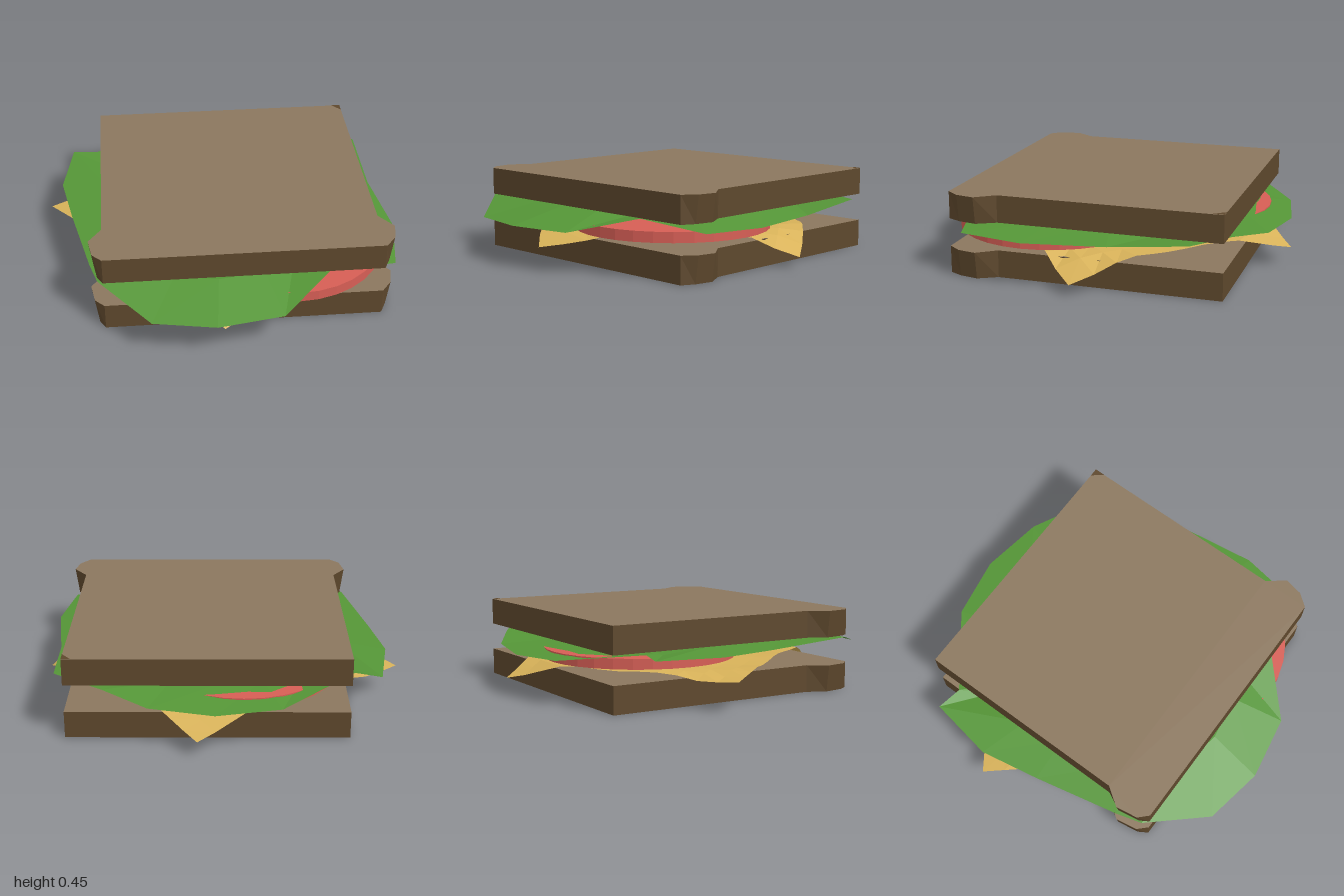
import * as THREE from 'three';

const mat = (name, color, extra = {}) => {
  const m = new THREE.MeshStandardMaterial({ color, flatShading: true, ...extra });
  m.name = name;
  return m;
};

// open sheet from points and triangle indices
function sheet(name, points, index, material) {
  const g = new THREE.BufferGeometry();
  g.setAttribute('position', new THREE.Float32BufferAttribute(points.flat(), 3));
  g.setIndex(index);
  g.computeVertexNormals();
  const m = new THREE.Mesh(g, material);
  m.name = name;
  return m;
}

export function createModel() {
  const group = new THREE.Group();
  group.name = 'sandwich';
  const crumb = mat('bread crumb', 0x8b775e);
  const crust = mat('bread crust', 0x5e482d);
  const green = mat('lettuce green', 0x559637, { side: THREE.DoubleSide });
  const red = mat('tomato red', 0xd65e55);
  const yellow = mat('cheese yellow', 0xd8b259, { side: THREE.DoubleSide });

  // bread slices: square with two lobed front corners
  const outline = [[-0.67, -0.78], [0.81, -0.78], [0.81, 0.42], [0.885, 0.52], [0.865, 0.62],
    [0.81, 0.69], [-0.67, 0.69], [-0.72, 0.64], [-0.74, 0.52], [-0.67, 0.42]];
  const shape = new THREE.Shape(outline.map(([x, z]) => new THREE.Vector2(x, -z)));
  function slice(name, y) {
    const g = new THREE.ExtrudeGeometry(shape, { depth: 0.147, bevelEnabled: false });
    g.rotateX(-Math.PI / 2);
    const p = g.attributes.position;
    // lobes taper inwards towards the bottom
    for (let i = 0; i < p.count; i++) {
      const x = p.getX(i);
      if (p.getY(i) < 0.01 && (x > 0.82 || x < -0.68)) p.setX(i, x - Math.sign(x) * 0.02);
    }
    g.computeVertexNormals();
    const m = new THREE.Mesh(g, [crumb, crust]);
    m.name = name;
    m.position.y = y;
    group.add(m);
  }
  slice('bottomBread', 0);
  slice('topBread', 0.298);

  // small patch of crust on the back corner of the top slice
  group.add(sheet('crustPatch', [[0.81, 0.447, -0.78], [0.76, 0.447, -0.78], [0.81, 0.447, -0.72]],
    [0, 1, 2], crust));

  // two overlapping tomato slices
  [[0.345, 0.217, 0.27], [-0.115, 0.223, -0.31]].forEach(([x, y, z], i) => {
    const m = new THREE.Mesh(new THREE.CylinderGeometry(0.523, 0.523, 0.056, 32), red);
    m.position.set(x, y, z);
    m.name = 'tomatoSlice' + (i + 1);
    group.add(m);
  });

  // lettuce leaf: outer rim [x, y, z], raised inner ring and centre
  const rim = [[-0.1, 0.22, 1], [0.25, 0.22, 0.94], [0.52, 0.293, 0.68], [0.89, 0.25, 0.59],
    [0.95, 0.246, 0.24], [0.89, 0.25, -0.2], [0.875, 0.29, -0.62], [0.61, 0.275, -0.78],
    [0.37, 0.24, -0.92], [0.03, 0.228, -0.98], [-0.31, 0.235, -0.92], [-0.7, 0.29, -0.61],
    [-0.84, 0.28, -0.64], [-0.9, 0.278, -0.28], [-0.84, 0.28, 0.05], [-0.74, 0.288, 0.52],
    [-0.7, 0.288, 0.66], [-0.43, 0.22, 0.94]];
  const n = rim.length;
  const inner = rim.map(([x, , z]) => [x * 0.7, z < -0.6 ? 0.262 : 0.292, z * 0.7]);
  const leafIndex = [];
  for (let i = 0; i < n; i++) {
    const j = (i + 1) % n;
    leafIndex.push(i, j, n + j, i, n + j, n + i, n + i, n + j, 2 * n);
  }
  group.add(sheet('lettuce', [...rim, ...inner, [0, 0.29, 0]], leafIndex, green));

  // cheese: rotated square whose corners droop past the bread
  const N = 12, pts = [], idx = [];
  const F = [-0.05, 0.87], R = [0.975, -0.03], B = [0.12, -1], L = [-0.97, -0.24];
  for (let a = 0; a <= N; a++) {
    for (let b = 0; b <= N; b++) {
      const u = a / N, v = b / N;
      const [x, z] = [0, 1].map((k) => (1 - u) * ((1 - v) * F[k] + v * L[k])
        + u * ((1 - v) * R[k] + v * B[k]));
      const edge = Math.max(Math.abs(u - 0.5), Math.abs(v - 0.5)) * 2;
      const ripple = 0.013 * edge * Math.sin(9 * x + 3) * Math.cos(8 * z);
      const over = Math.max(0, z - 0.66) * 0.4 + Math.max(0, x - 0.8) * 0.6 + Math.max(0, -0.78 - z) * 0.38;
      // front and right corners spread sideways as they fold down
      const sx = z > 0.5 ? x + (x + 0.05) * (z - 0.5) * 1.2 : x;
      const sz = x > 0.6 ? z + (z + 0.03) * (x - 0.6) * 1.2 : z;
      pts.push([sx, 0.174 + ripple - over - (x < -0.75 ? 0.012 : 0), sz]);
      if (a < N && b < N) {
        const i = a * (N + 1) + b;
        idx.push(i, i + N + 1, i + 1, i + 1, i + N + 1, i + N + 2);
      }
    }
  }
  group.add(sheet('cheese', pts, idx, yellow));
  return group;
}
